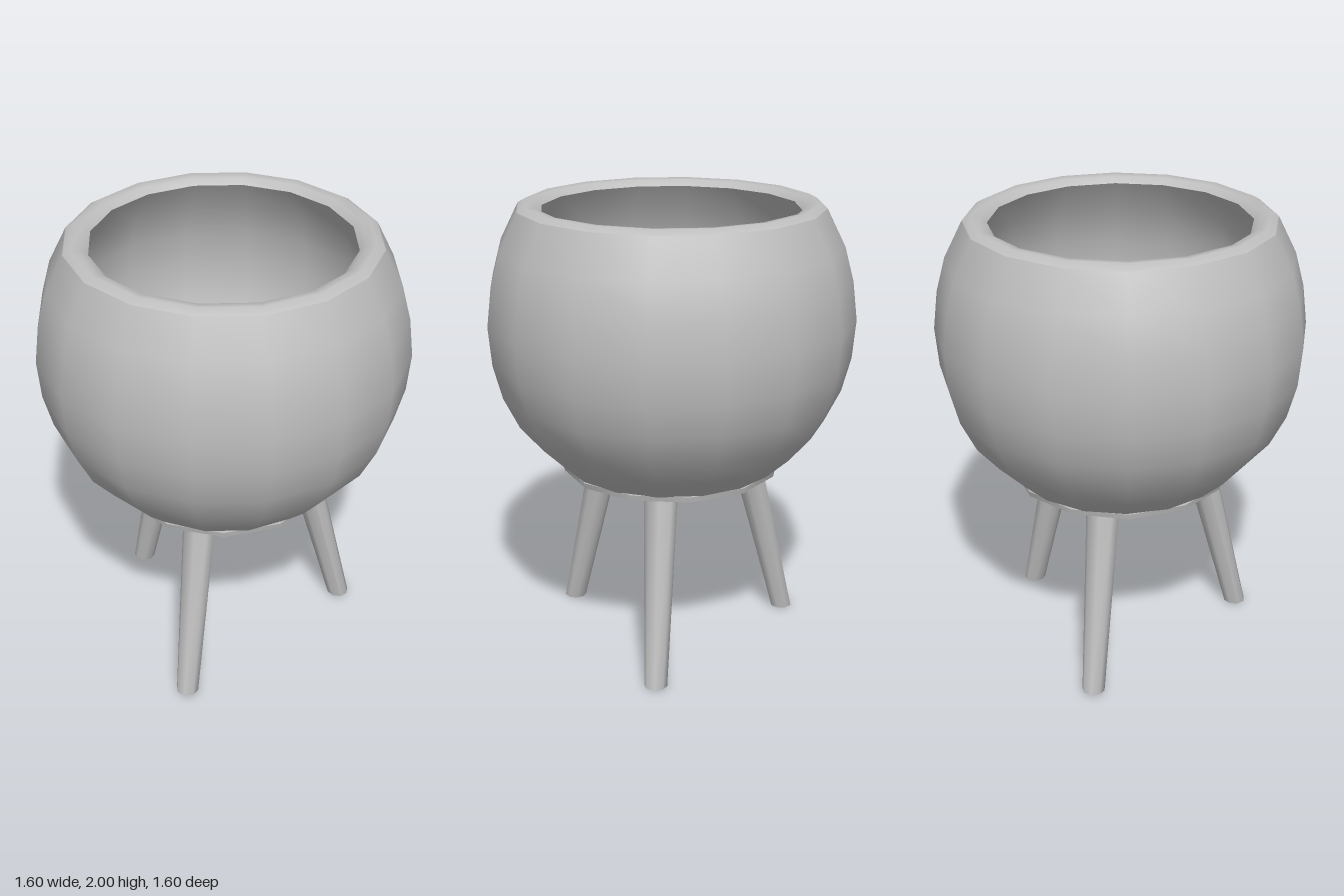
import * as THREE from 'three';

const SIDES = 16;
const grey = new THREE.MeshStandardMaterial({ color: 0xbfbfbf });
grey.name = 'plain grey';

function addMesh(group, name, geometry) {
  const mesh = new THREE.Mesh(geometry, grey);
  mesh.name = name;
  group.add(mesh);
  return mesh;
}

// Revolve a list of [radius, height] pairs around the y axis
function revolve(points, sides = SIDES) {
  return new THREE.LatheGeometry(points.map(([r, y]) => new THREE.Vector2(r, y)), sides, 0.1);
}

// Tapered leg, sheared outward so both ends stay level
function legGeometry(topRadius, footRadius, topReach, footReach, height) {
  const geometry = new THREE.CylinderGeometry(topRadius, footRadius, height, 8);
  geometry.translate(0, height / 2, 0);
  const p = geometry.attributes.position;
  for (let i = 0; i < p.count; i++) {
    const t = p.getY(i) / height;
    p.setX(i, p.getX(i) + footReach + (topReach - footReach) * t);
  }
  geometry.computeVertexNormals();
  return geometry;
}

export function createModel() {
  const model = new THREE.Group();
  model.name = 'planter';

  // Rounded outer wall, rim and hollow inside in separate smooth surfaces
  addMesh(model, 'outerWall', revolve([
    [0.475, 0.83], [0.58, 0.925], [0.68, 1.04], [0.75, 1.18], [0.79, 1.33],
    [0.805, 1.5], [0.785, 1.67], [0.745, 1.82], [0.665, 1.98],
  ]));
  addMesh(model, 'rim', revolve([[0.665, 1.98], [0.63, 2.0], [0.59, 1.995], [0.56, 1.97]]));
  addMesh(model, 'innerWall', revolve([
    [0.56, 1.97], [0.66, 1.82], [0.71, 1.66], [0.73, 1.5], [0.715, 1.35],
    [0.67, 1.2], [0.6, 1.08], [0.48, 0.97], [0.26, 0.9], [0, 0.88],
  ]));

  // Thin plate under the bowl
  const plate = addMesh(model, 'basePlate', new THREE.CylinderGeometry(0.485, 0.48, 0.025, 12));
  plate.position.y = 0.82;

  // Three splayed legs, evenly spaced
  const leg = legGeometry(0.073, 0.05, 0.37, 0.58, 0.815);
  for (let i = 0; i < 3; i++) {
    const mesh = addMesh(model, 'leg' + (i + 1), leg);
    mesh.rotation.y = -THREE.MathUtils.degToRad(16.5 + i * 120);
  }
  return model;
}
